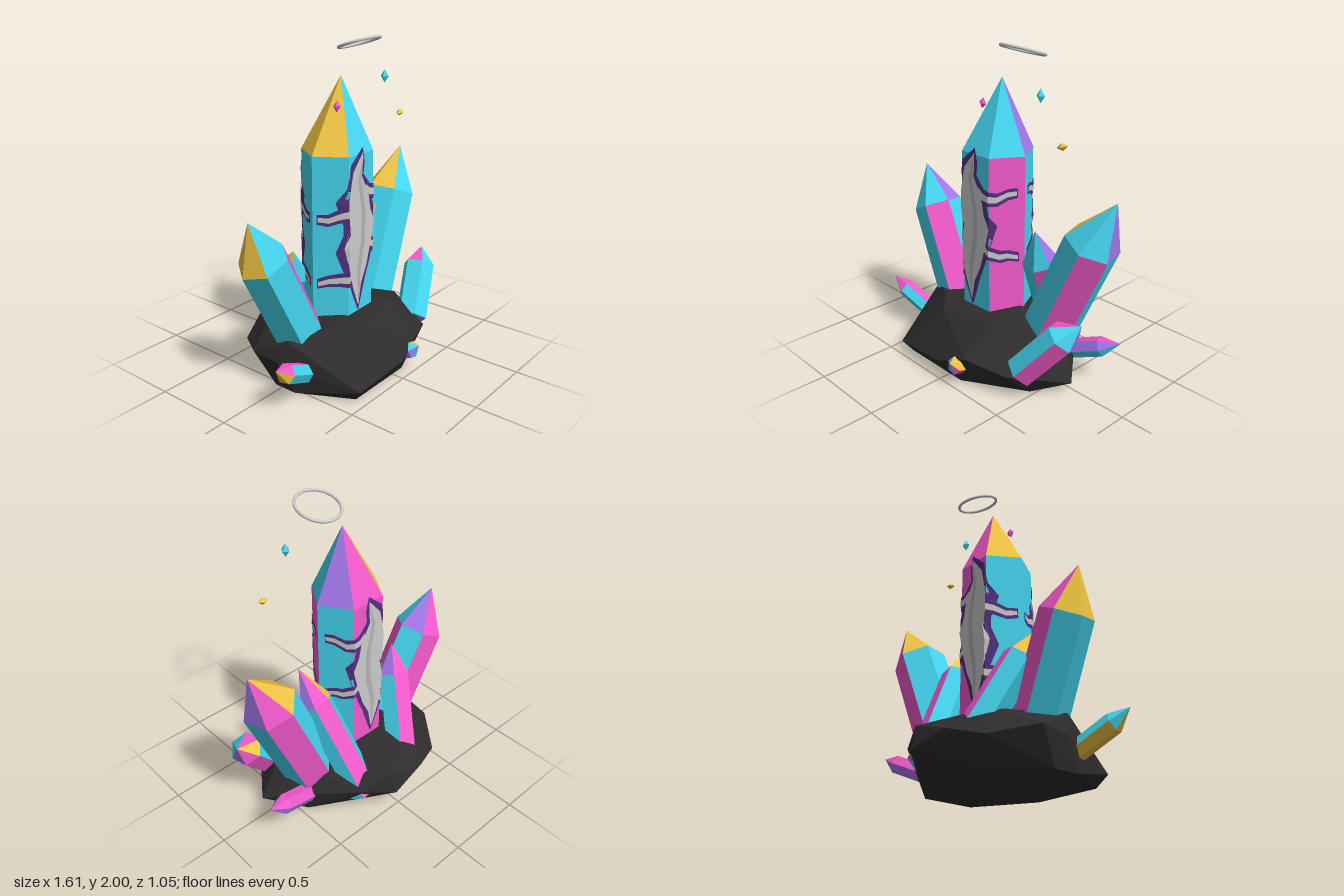
import * as THREE from 'three';
import { ConvexGeometry } from 'three/addons/geometries/ConvexGeometry.js';

const CYAN = 0x45d8f2, PINK = 0xf25acb, YELLOW = 0xf2c744, PURPLE = 0xa678ee;
const ROCK = 0x2e2c2c, VIOLET = 0x55307f, WHITE = 0xe4e4e4, GREY = 0xb4b4b4;
const SIDES = [PINK, CYAN, CYAN, CYAN, PINK, CYAN];
const TIPS = [CYAN, CYAN, YELLOW, YELLOW, PINK, PURPLE];

const material = (color, side = THREE.FrontSide) =>
  new THREE.MeshStandardMaterial({ color, side, flatShading: true });

// Six-sided pointed crystal from base to shoulder to apex, one colour per facet.
// Facets run right-front, front, left-front, left-back, back, right-back.
function crystal({ name, base, shoulder, apex, r, twist = 0, wide = 1, sides = SIDES, tips = TIPS }) {
  const b = new THREE.Vector3(...base), s = new THREE.Vector3(...shoulder), a = new THREE.Vector3(...apex);
  const d = s.clone().sub(b).normalize();
  const u = new THREE.Vector3(1, 0, 0).addScaledVector(d, -d.x).normalize();
  const v = u.clone().cross(d);
  const corner = (c, i) => {
    const t = twist + (i * Math.PI) / 3;
    return c.clone().addScaledVector(u, r * wide * Math.cos(t)).addScaledVector(v, r * Math.sin(t));
  };
  const points = [], colours = [];
  const tri = (color, ...p) => { points.push(...p); colours.push(color); };
  for (let i = 0; i < 6; i++) {
    const b0 = corner(b, i), b1 = corner(b, i + 1), s0 = corner(s, i), s1 = corner(s, i + 1);
    tri(sides[i], b1, b0, s0);
    tri(sides[i], b1, s0, s1);
    tri(tips[i], s1, s0, a);
    tri(sides[i], b, b0, b1);
  }
  const geometry = new THREE.BufferGeometry().setFromPoints(points);
  const palette = [...new Set(colours)];
  colours.forEach((c, i) => geometry.addGroup(i * 3, 3, palette.indexOf(c)));
  geometry.computeVertexNormals();
  const mesh = new THREE.Mesh(geometry, palette.map((c) => material(c)));
  mesh.name = name;
  return mesh;
}

// Depth of the main crystal's surface at x, raised by a small offset
const surface = (x, lift) =>
  Math.min(0.18 + lift, Math.max(0, (0.228 - Math.abs(x + 0.015)) * 1.58 + lift * 1.87));

// Jagged band laid on the main crystal. Rows are [along, low, high].
function band(name, rows, lift, color, vertical, back) {
  const cols = vertical ? 12 : 1;
  const geometry = new THREE.PlaneGeometry(1, 1, cols, rows.length - 1);
  const p = geometry.attributes.position;
  rows.forEach(([along, low, high], i) => {
    for (let j = 0; j <= cols; j++) {
      const across = low + ((high - low) * j) / cols;
      const x = vertical ? across : along, y = vertical ? along : across;
      p.setXYZ(i * (cols + 1) + j, x, y, surface(x, lift) * (back ? -1 : 1));
    }
  });
  geometry.computeVertexNormals();
  const mesh = new THREE.Mesh(geometry, material(color, THREE.DoubleSide));
  mesh.name = name;
  return mesh;
}

// Glowing fissure with side cracks, on the front or back of the main crystal
function fissure(back) {
  const g = new THREE.Group();
  g.name = back ? 'backFissure' : 'frontFissure';
  const rim = [[1.39, -0.015, -0.01], [1.3, -0.12, 0.01], [1.23, -0.13, 0.0], [1.16, -0.14, 0.06],
    [1.08, -0.175, 0.08], [1.0, -0.16, 0.1], [0.94, -0.15, 0.13], [0.88, -0.15, 0.12], [0.77, -0.175, 0.1],
    [0.65, -0.15, 0.055], [0.58, -0.13, 0.025], [0.5, -0.1, 0.0], [0.385, -0.05, -0.04]];
  const core = [[1.36, -0.015, -0.012], [1.26, -0.1, -0.015], [1.22, -0.11, -0.02], [1.1, -0.135, 0.045],
    [1.0, -0.135, 0.065], [0.92, -0.125, 0.105], [0.8, -0.15, 0.075], [0.65, -0.125, 0.03],
    [0.55, -0.1, -0.02], [0.42, -0.05, -0.045]];
  const vein = [[1.34, -0.016, -0.012], [1.2, -0.06, -0.03], [1.0, -0.025, 0.012], [0.82, -0.03, 0.01],
    [0.65, -0.065, -0.03], [0.43, -0.05, -0.045]];
  g.add(band('fissureRim', rim, 0.006, VIOLET, true, back));
  g.add(band('fissureCore', core, 0.01, WHITE, true, back));
  g.add(band('fissureVein', vein, 0.014, GREY, true, back));
  // Centre line of each side crack as [x, y], from the core outwards
  const cracks = [
    [[0.02, 1.14], [0.06, 1.11], [0.099, 1.105], [0.13, 1.1], [0.165, 1.13], [0.195, 1.135]],
    [[0.05, 0.8], [0.08, 0.78], [0.099, 0.765], [0.14, 0.74], [0.165, 0.745], [0.2, 0.73]],
    [[-0.1, 1.0], [-0.129, 1.01], [-0.16, 1.0], [-0.2, 0.97], [-0.235, 0.975]],
    [[-0.09, 0.64], [-0.129, 0.6], [-0.16, 0.6], [-0.2, 0.59], [-0.235, 0.57]],
  ];
  for (const path of cracks) {
    const rows = (h) => path.map(([x, y], i) => {
      const w = h * (1 - (0.55 * i) / path.length);
      return [x, y - w, y + w];
    });
    g.add(band('crackRim', rows(0.055), 0.006, VIOLET, false, back));
    g.add(band('crackCore', rows(0.024), 0.01, WHITE, false, back));
  }
  return g;
}

export function createModel() {
  const model = new THREE.Group();

  // Rock base: bottom ring, waist, top
  const rockPoints = [
    [-0.53, 0, 0.1], [-0.36, 0, 0.42], [0.1, 0, 0.42], [0.47, 0, 0.2], [0.45, 0, -0.15], [0.1, 0, -0.32],
    [-0.3, 0, -0.3], [-0.53, 0, -0.05],
    [-0.57, 0.18, 0], [-0.4, 0.08, 0.48], [-0.01, 0.12, 0.5], [0.19, 0.2, 0.46], [0.43, 0.15, 0.36],
    [0.66, 0.08, 0.05], [0.5, 0.15, -0.15], [0.25, 0.2, -0.42], [0.05, 0.14, -0.525], [-0.2, 0.2, -0.5],
    [-0.41, 0.14, -0.41], [-0.58, 0.2, -0.18],
    [-0.53, 0.31, 0.05], [-0.3, 0.36, 0.2], [0.2, 0.4, 0.02], [0.2, 0.37, 0.25], [0.44, 0.31, 0.12],
    [0.42, 0.3, -0.12], [0.08, 0.28, -0.49], [-0.3, 0.33, -0.28], [-0.15, 0.35, 0.33],
  ].map((p) => new THREE.Vector3(...p));
  const rock = new THREE.Mesh(new ConvexGeometry(rockPoints), material(ROCK));
  rock.name = 'rockBase';
  model.add(rock);

  // Crystals
  const crystals = [
    { name: 'mainCrystal', base: [-0.015, 0.2, 0], shoulder: [-0.015, 1.35, 0], apex: [0.02, 1.78, 0],
      r: 0.208, wide: 1.096 },
    { name: 'largeRightCrystal', base: [0.33, 0.18, -0.05], shoulder: [0.655, 0.925, -0.09],
      apex: [0.8, 1.2, -0.11], r: 0.167, twist: 0.26 },
    { name: 'largeLeftCrystal', base: [-0.31, 0.18, 0], shoulder: [-0.63, 0.825, -0.03],
      apex: [-0.735, 1.08, -0.03], r: 0.155, twist: 0.17 },
    { name: 'backLeftCrystal', base: [-0.19, 0.15, -0.34], shoulder: [-0.335, 0.64, -0.1],
      apex: [-0.38, 0.81, -0.03], r: 0.105, twist: 0.17 },
    { name: 'backRightCrystal', base: [0.17, 0.12, -0.35], shoulder: [0.29, 0.72, -0.05],
      apex: [0.335, 0.94, 0.04], r: 0.105, twist: 0.17 },
    { name: 'smallFrontRightCrystal', base: [0.45, 0.16, 0.25], shoulder: [0.675, 0.44, 0.155],
      apex: [0.77, 0.53, 0.11], r: 0.103, twist: 0.17, tips: [CYAN, CYAN, PINK, YELLOW, PINK, PURPLE] },
    { name: 'smallLeftCrystal', base: [-0.4, 0.09, 0.13], shoulder: [-0.71, 0.245, 0.2],
      apex: [-0.81, 0.31, 0.22], r: 0.06, sides: [CYAN, CYAN, YELLOW, YELLOW, CYAN, PINK],
      tips: [PINK, YELLOW, YELLOW, CYAN, CYAN, PINK] },
    { name: 'smallRightCrystal', base: [0.4, 0.12, -0.14], shoulder: [0.68, 0.235, -0.195],
      apex: [0.795, 0.29, -0.22], r: 0.06, sides: [CYAN, PURPLE, PINK, PINK, PURPLE, YELLOW],
      tips: [CYAN, PURPLE, PINK, PINK, PURPLE, YELLOW] },
    { name: 'smallFrontCrystal', base: [0.11, 0.09, 0.32], shoulder: [0.12, 0.14, 0.485],
      apex: [0.13, 0.175, 0.525], r: 0.054, twist: 0.2, sides: [PINK, CYAN, PURPLE, CYAN, YELLOW, YELLOW],
      tips: [PINK, CYAN, PURPLE, CYAN, YELLOW, YELLOW] },
  ];
  crystals.forEach((c) => model.add(crystal(c)));
  model.add(fissure(false), fissure(true));

  // Floating shards
  const shards = [
    [CYAN, [0.375, 1.738, 0.055], [0.026, 0.04, 0.026], 0],
    [YELLOW, [0.54, 1.492, 0.058], [0.038, 0.022, 0.022], 0.3],
    [PINK, [-0.083, 1.62, 0.055], [0.025, 0.034, 0.024], -0.15],
  ];
  for (const [color, position, scale, tilt] of shards) {
    const shard = new THREE.Mesh(new THREE.OctahedronGeometry(1), material(color));
    shard.name = 'floatingShard';
    shard.position.set(...position);
    shard.scale.set(...scale);
    shard.rotation.set(0, 0.2, tilt);
    model.add(shard);
  }

  // Tilted ring above the tip
  const ring = new THREE.Mesh(
    new THREE.TorusGeometry(0.126, 0.009, 10, 40),
    new THREE.MeshStandardMaterial({ color: 0xcccccc })
  );
  ring.name = 'floatingRing';
  ring.position.set(0.187, 1.952, 0.003);
  ring.rotation.x = Math.PI / 2 - 0.31;
  model.add(ring);

  return model;
}
